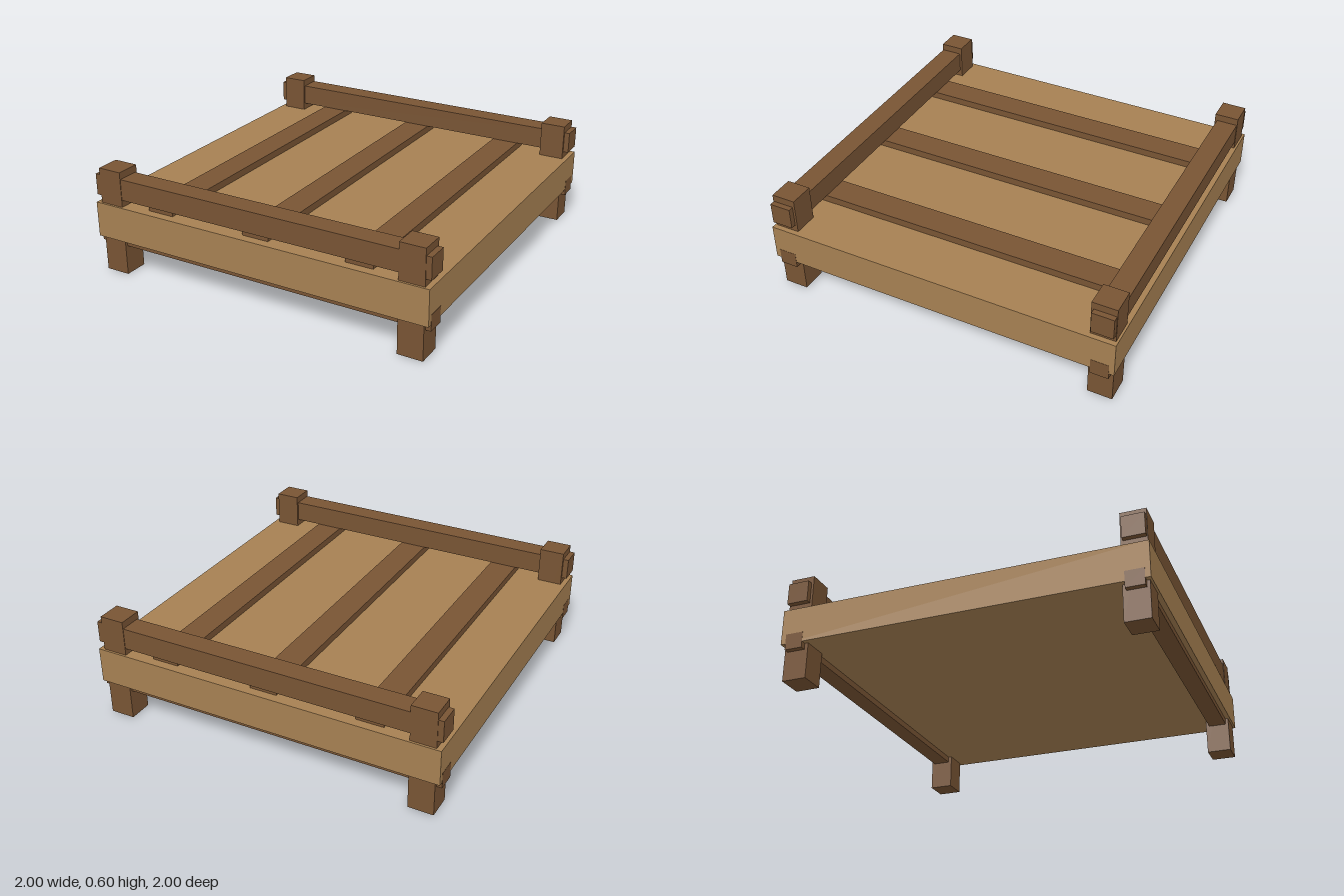
import * as THREE from 'three';

const lightWood = new THREE.MeshStandardMaterial({ color: 0xa68052 });
lightWood.name = 'lightWood';
const darkWood = new THREE.MeshStandardMaterial({ color: 0x785434 });
darkWood.name = 'darkWood';

// Box given by its size and centre
function addBox(parent, name, material, [w, h, d], [x, y, z]) {
  const mesh = new THREE.Mesh(new THREE.BoxGeometry(w, h, d), material);
  mesh.name = name;
  mesh.position.set(x, y, z);
  parent.add(mesh);
}

export function createModel() {
  const model = new THREE.Group();
  model.name = 'woodenPlatform';

  // Thick deck, a hair shorter than the rails so their ends show
  addBox(model, 'deck', lightWood, [1.998, 0.2, 2], [0, 0.3, 0]);

  // Slats lying across the deck from front to back
  for (const x of [-0.6, 0, 0.6]) {
    addBox(model, 'slat', darkWood, [0.155, 0.06, 1.9], [x, 0.41, 0]);
  }

  // Front and back: upper rail, lower rail and two corner posts
  for (const side of [1, -1]) {
    const frame = new THREE.Group();
    frame.name = side > 0 ? 'frontFrame' : 'backFrame';
    addBox(frame, 'upperRail', darkWood, [2, 0.12, 0.12], [0, 0.5, side * 0.925]);
    addBox(frame, 'lowerRail', darkWood, [2, 0.09, 0.1], [0, 0.21, side * 0.922]);
    for (const x of [0.9, -0.9]) {
      addBox(frame, x > 0 ? 'leftPost' : 'rightPost', darkWood, [0.14, 0.6, 0.136], [x, 0.3, side * 0.92]);
    }
    model.add(frame);
  }

  return model;
}
